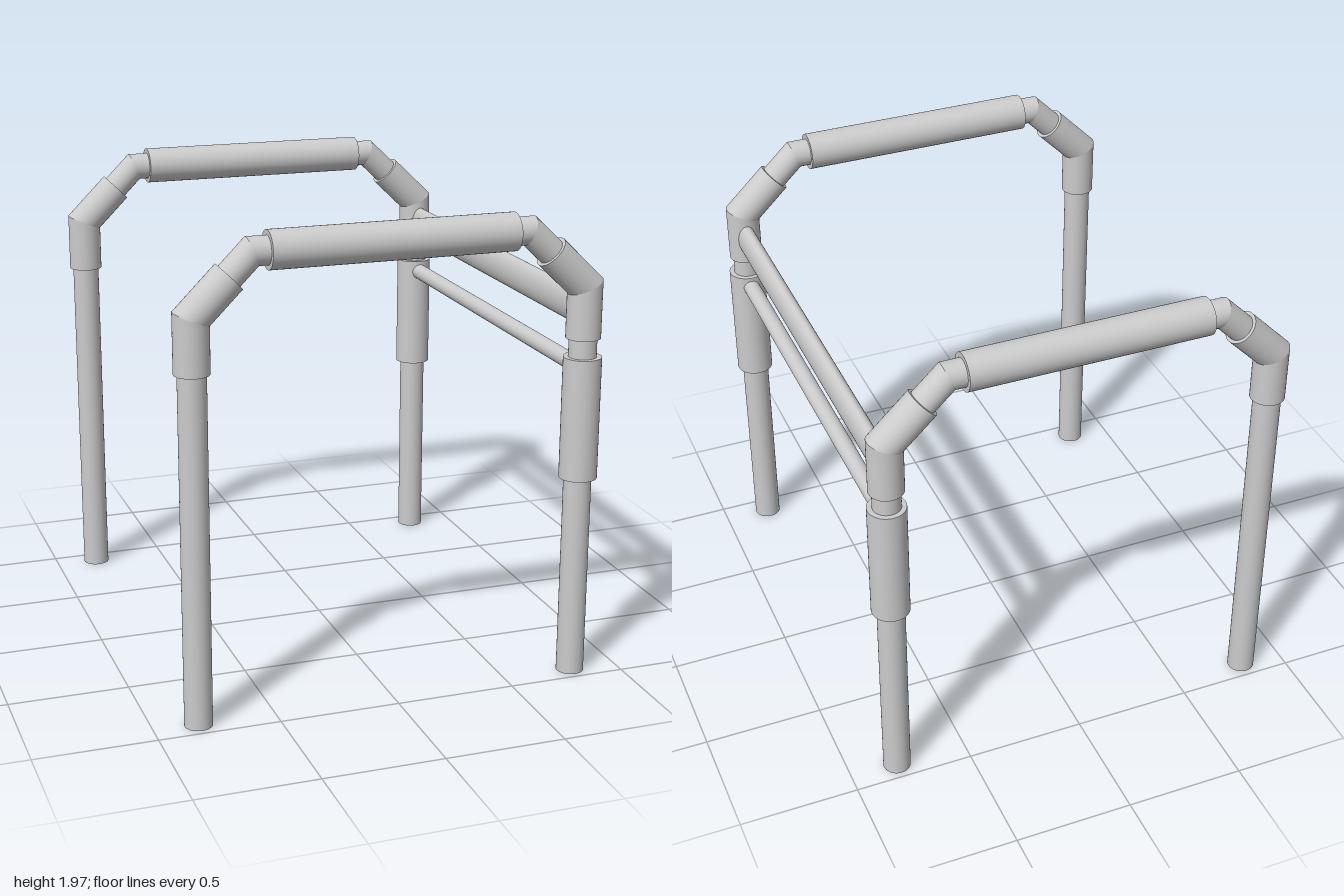
import * as THREE from 'three';
import { mergeGeometries } from 'three/addons/utils/BufferGeometryUtils.js';

const SIDES = 40;
const material = new THREE.MeshStandardMaterial({ color: 0xcccccc });

function add(parent, name, geometry) {
  const mesh = new THREE.Mesh(geometry, material);
  mesh.name = name;
  parent.add(mesh);
  return mesh;
}

// Round pipe through points in the xy plane, with mitred corners and flat end caps
function mitredPipe(points, radius) {
  const pts = points.map(([x, y]) => new THREE.Vector2(x, y));
  const last = pts.length - 2;
  const dirs = pts.slice(1).map((p, i) => p.clone().sub(pts[i]).normalize());
  const slope = (i) => (i < 1 || i > last ? 0
    : Math.tan(Math.atan2(dirs[i - 1].cross(dirs[i]), dirs[i - 1].dot(dirs[i])) / 2));
  const parts = [];
  for (let i = 0; i <= last; i++) {
    const length = pts[i].distanceTo(pts[i + 1]);
    const turn = Math.atan2(-dirs[i].x, dirs[i].y);
    const place = (g) => parts.push(g.rotateZ(turn).translate(pts[i].x, pts[i].y, 0));
    // Slide each end ring along the axis so it lies in the mitre plane
    const tube = new THREE.CylinderGeometry(radius, radius, length, SIDES, 1, true).translate(0, length / 2, 0);
    const pos = tube.attributes.position;
    for (let v = 0; v < pos.count; v++) {
      const x = pos.getX(v), y = pos.getY(v);
      pos.setY(v, y > length / 2 ? y + x * slope(i + 1) : y - x * slope(i));
    }
    place(tube);
    if (i === 0) place(new THREE.CircleGeometry(radius, SIDES).rotateX(Math.PI / 2));
    if (i === last) place(new THREE.CircleGeometry(radius, SIDES).rotateX(-Math.PI / 2).translate(0, length, 0));
  }
  return mergeGeometries(parts);
}

export function createModel() {
  const group = new THREE.Group();
  const zSide = 0.921;
  const xL = 0.799, xR = -0.817; // leg positions
  const bend = 1.657, top = 1.896; // heights of the lower and upper bends

  for (const [label, z] of [['front', zSide], ['back', -zSide]]) {
    const side = new THREE.Group();
    side.name = label + 'SideFrame';
    side.position.z = z;
    group.add(side);

    // Legs and top bar bent from one tube
    add(side, 'legTube', mitredPipe(
      [[xR, 0], [xR, bend], [-0.578, top], [0.549, top], [xL, bend], [xL, 0]], 0.057));

    // Elbow fittings over the lower bends
    add(side, 'rightElbow', mitredPipe([[xR, 1.444], [xR, bend], [-0.667, 1.807]], 0.071));
    add(side, 'leftElbow', mitredPipe([[xL, 1.444], [xL, bend], [0.645, 1.805]], 0.071));

    // Padded hand grip
    const grip = add(side, 'handGrip', new THREE.CylinderGeometry(0.077, 0.077, 1.005, SIDES));
    grip.rotation.z = Math.PI / 2;
    grip.position.set(-0.015, 1.897, 0);

    // Sleeve on the braced leg
    const sleeve = add(side, 'legSleeve', new THREE.CylinderGeometry(0.078, 0.078, 0.51, SIDES));
    sleeve.position.set(0.8, 1.111, 0);
  }

  // Cross rails joining the two side frames: an oval upper one and a thin lower one
  for (const [name, y, rx, ry] of [['upperRail', 1.555, 0.038, 0.071], ['lowerRail', 1.315, 0.035, 0.035]]) {
    const rail = add(group, name,
      new THREE.CylinderGeometry(1, 1, 2 * zSide, SIDES).rotateX(Math.PI / 2).scale(rx, ry, 1));
    rail.position.set(0.803, y, 0);
  }
  return group;
}
